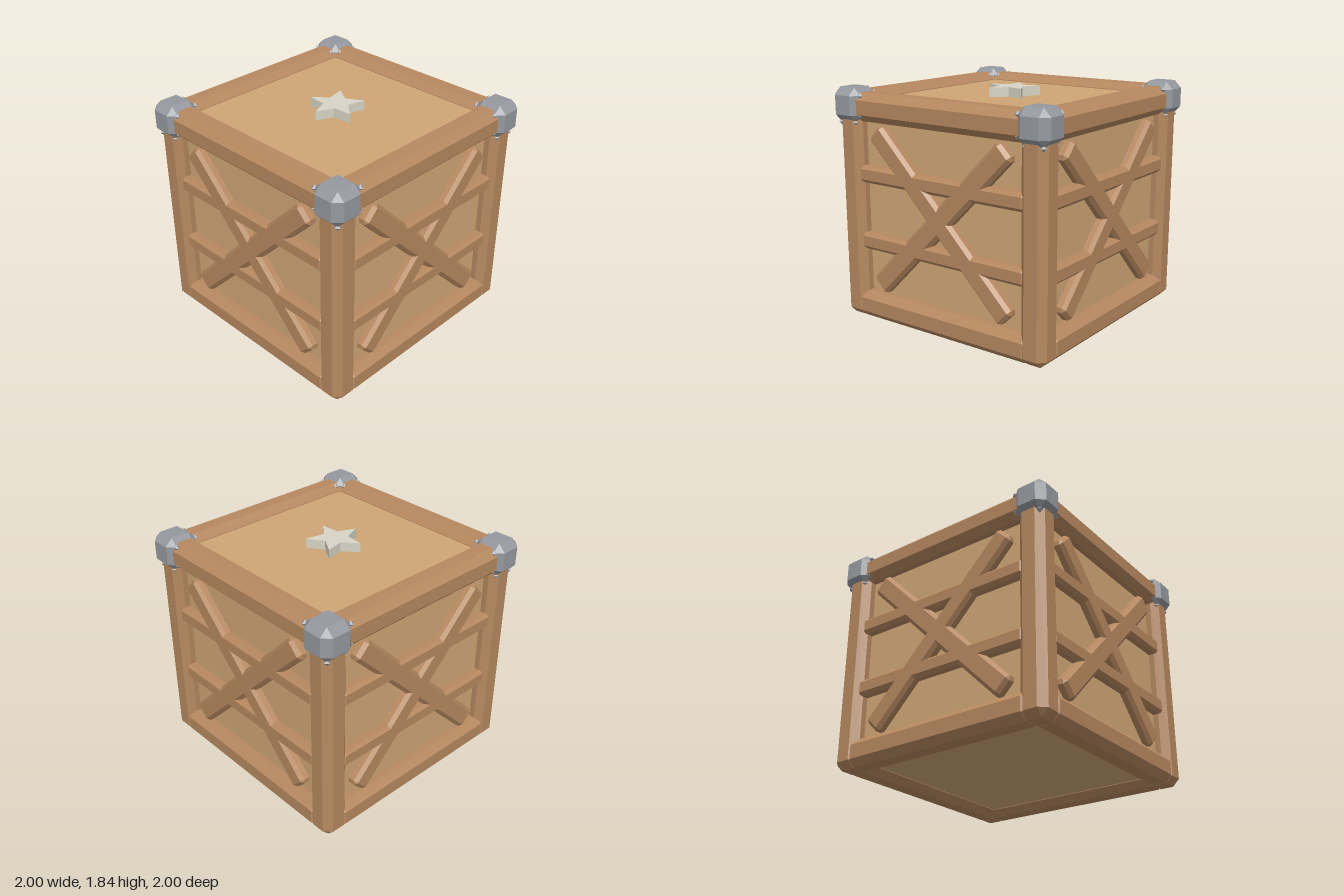
import * as THREE from 'three';
import { ConvexGeometry } from 'three/addons/geometries/ConvexGeometry.js';

const paint = (color) => new THREE.MeshStandardMaterial({ color, flatShading: true });
const panelMat = paint(0xcea575);
const woodMat = paint(0xb6885f);
const metalMat = paint(0x95999f);
const starMat = paint(0xd8d4c6);

// Box with half sizes hx, hy, hz and every edge cut at 45 degrees by c
function chamferBox(hx, hy, hz, c) {
  const pts = [];
  for (const x of [-1, 1]) for (const y of [-1, 1]) for (const z of [-1, 1]) {
    pts.push(
      new THREE.Vector3(x * hx, y * (hy - c), z * (hz - c)),
      new THREE.Vector3(x * (hx - c), y * hy, z * (hz - c)),
      new THREE.Vector3(x * (hx - c), y * (hy - c), z * hz));
  }
  return new ConvexGeometry(pts);
}

function add(parent, name, geometry, material, x = 0, y = 0, z = 0) {
  const mesh = new THREE.Mesh(geometry, material);
  mesh.name = name;
  mesh.position.set(x, y, z);
  parent.add(mesh);
  return mesh;
}

export function createModel() {
  const model = new THREE.Group();
  model.name = 'crate';
  const R = 0.855; // centre line of the frame

  // Inner box that forms the recessed panels
  add(model, 'panels', new THREE.BoxGeometry(1.73, 1.68, 1.73), panelMat, 0, 0.9, 0);

  // One side of the crate, repeated four times
  const topRail = chamferBox(R, 0.11, 0.11, 0.055);
  const bottomRail = chamferBox(0.835, 0.11, 0.11, 0.055);
  const slat = chamferBox(0.785, 0.067, 0.05, 0.026);
  const brace = chamferBox(0.87, 0.086, 0.05, 0.027);
  for (let i = 0; i < 4; i++) {
    const side = new THREE.Group();
    side.name = 'side' + (i + 1);
    side.rotation.y = i * Math.PI / 2;
    add(side, 'topRail', topRail, woodMat, 0, 1.69, R);
    add(side, 'bottomRail', bottomRail, woodMat, 0, 0.11, R);
    for (const y of [0.635, 1.17]) add(side, 'slat', slat, woodMat, 0, y, 0.89);
    for (const s of [-1, 1]) {
      add(side, 'crossBrace', brace, woodMat, 0, 0.9, 0.89).rotation.z = s * Math.PI / 4;
    }
    model.add(side);
  }

  // Corner posts with metal caps
  const post = chamferBox(0.11, 0.86, 0.11, 0.055);
  const H = 0.134, F = 0.075;
  const cap = chamferBox(H, H, H, H - F);
  const stud = new THREE.OctahedronGeometry(0.026);
  for (const sx of [-1, 1]) for (const sz of [-1, 1]) {
    add(model, 'cornerPost', post, woodMat, sx * R, 0.86, sz * R);

    const corner = new THREE.Group();
    corner.name = 'cornerCap';
    corner.position.set(sx * 0.866, 1.701, sz * 0.866);
    add(corner, 'capBlock', cap, metalMat);
    // Raised points round the openings where the beams enter
    for (const a of [-F, F]) for (const b of [-F, F]) {
      add(corner, 'capPoint', stud, metalMat, -sx * H, a, b);
      add(corner, 'capPoint', stud, metalMat, a, -H, b);
      add(corner, 'capPoint', stud, metalMat, a, b, -sz * H);
    }
    model.add(corner);
  }

  // Star plate on the lid, one point toward the front
  const shape = new THREE.Shape();
  for (let i = 0; i < 10; i++) {
    const r = i % 2 ? 0.1 : 0.22;
    const t = -Math.PI / 2 + i * Math.PI / 5;
    shape[i ? 'lineTo' : 'moveTo'](r * Math.cos(t), r * Math.sin(t));
  }
  const star = new THREE.ExtrudeGeometry(shape, { depth: 0.077, bevelEnabled: false });
  star.rotateX(-Math.PI / 2);
  add(model, 'starPlate', star, starMat, 0, 1.738, 0);

  return model;
}
